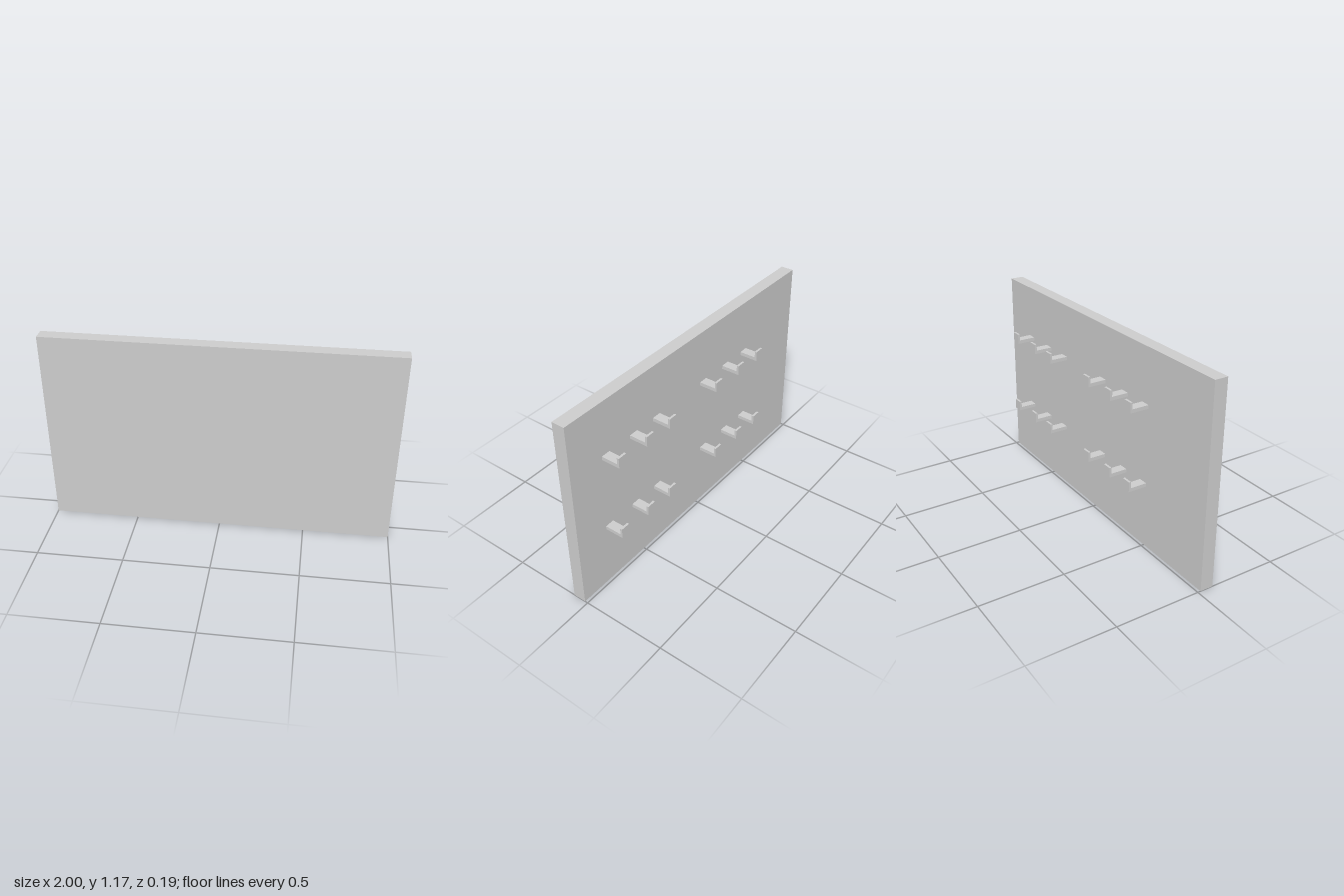
import * as THREE from 'three';

const material = new THREE.MeshStandardMaterial({ color: 0xcccccc, flatShading: true });

const BACK = 0.018;      // rear face of the board
const HOOK_WIDTH = 0.056;

// L-shaped hook profile, x = distance out from the board, y = up
function hookGeometry() {
  const reach = 0.113, lip = 0.013, thick = 0.021, height = 0.06;
  const shape = new THREE.Shape([
    [0, 0], [reach, 0], [reach, height], [reach - lip, height], [reach - lip, thick], [0, thick],
  ].map(([x, y]) => new THREE.Vector2(x, y)));
  const geometry = new THREE.ExtrudeGeometry(shape, { depth: HOOK_WIDTH, bevelEnabled: false });
  geometry.translate(0, 0, -HOOK_WIDTH / 2);
  geometry.rotateY(Math.PI / 2); // point the hook towards -z
  return geometry;
}

export function createModel() {
  const model = new THREE.Group();
  model.name = 'hookBoard';

  // Upright board
  const board = new THREE.Mesh(new THREE.BoxGeometry(2, 1.172, 0.077), material);
  board.name = 'board';
  board.position.set(0, 0.586, BACK + 0.0385);
  model.add(board);

  // Two rows of hooks, each with two groups of three
  const geometry = hookGeometry();
  const rows = [
    { name: 'upperHook', y: 0.837, shift: 0 },
    { name: 'lowerHook', y: 0.375, shift: 0.015 },
  ];
  for (const { name, y, shift } of rows) {
    const xs = [-0.476, -0.289, -0.074, 0.345 + shift, 0.532 + shift, 0.747 + shift];
    xs.forEach((x, i) => {
      const hook = new THREE.Mesh(geometry, material);
      hook.name = name + (i + 1);
      hook.position.set(x, y, BACK);
      model.add(hook);
    });
  }
  return model;
}
